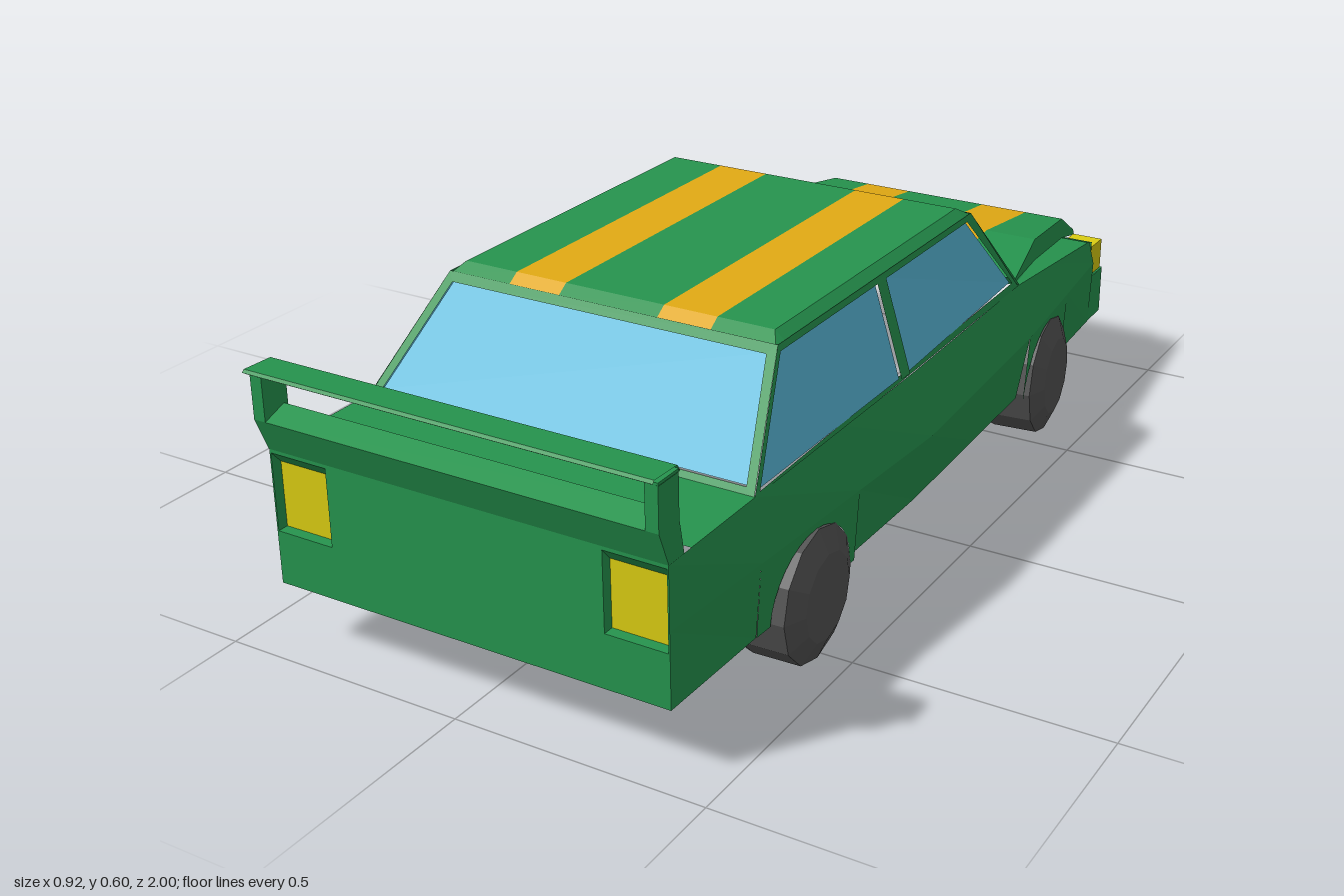
import * as THREE from 'three';

const paint = (name, color) => new THREE.MeshStandardMaterial({ name, color, side: THREE.DoubleSide, flatShading: true });

// Piecewise-linear lookup over [z, value] pairs, z descending
function along(table, z) {
  for (let i = 1; i < table.length; i++) {
    const [a, va] = table[i - 1], [b, vb] = table[i];
    if (z >= b) return va + (vb - va) * Math.min(1, Math.max(0, (a - z) / (a - b)));
  }
  return table[table.length - 1][1];
}
const ridgeX = z => along([[0.957, 0.41], [0.69, 0.425], [0.1, 0.455], [-0.45, 0.425], [-1, 0.367]], z);
const sillX = z => along([[0.957, 0.41], [0.69, 0.415], [0.1, 0.42], [-0.45, 0.4], [-1, 0.365]], z);
const beltX = z => along([[0.957, 0.41], [0, 0.41], [-0.445, 0.385], [-0.92, 0.362]], z);
const beltY = z => along([[0.957, 0.39], [0, 0.39], [-0.445, 0.375], [-0.92, 0.32]], z);
const SILL = 0.125, RIDGE = 0.27;

// Surface through rows of points; only the listed columns are filled
function skin(rows, columns) {
  const p = [];
  for (let r = 0; r + 1 < rows.length; r++) {
    for (let c = 0; c + 1 < rows[r].length; c++) {
      if (columns && !columns.includes(c)) continue;
      const a = rows[r][c], b = rows[r][c + 1], d = rows[r + 1][c], e = rows[r + 1][c + 1];
      p.push(...a, ...b, ...e, ...a, ...e, ...d);
    }
  }
  const g = new THREE.BufferGeometry();
  g.setAttribute('position', new THREE.Float32BufferAttribute(p, 3));
  g.computeVertexNormals();
  return g;
}

const ring = pts => pts.map(([x, y]) => new THREE.Vector2(x, y));

// Flat outline with holes, each vertex then placed in space by a rule
function sheet(outline, holes, place) {
  const s = outline instanceof THREE.Shape ? outline : new THREE.Shape(ring(outline));
  holes.forEach(h => s.holes.push(new THREE.Path(ring(h))));
  const g = new THREE.ShapeGeometry(s, 8).toNonIndexed(), q = g.attributes.position;
  for (let i = 0; i < q.count; i++) q.setXYZ(i, ...place(q.getX(i), q.getY(i)));
  g.computeVertexNormals();
  return g;
}

export function createModel() {
  const green = paint('bodyGreen', 0x26944e), gold = paint('stripeGold', 0xe2aa14);
  const glass = paint('windowBlue', 0x5abada), yellow = paint('lampYellow', 0xdacd12);
  const rubber = paint('wheelGrey', 0x535353);
  const car = new THREE.Group();
  car.name = 'car';
  const add = (name, geometry, material, parent = car) => {
    const m = new THREE.Mesh(geometry, material);
    m.name = name;
    parent.add(m);
    return m;
  };

  // Striped panels: hood and roof
  const striped = (name, rows) => {
    add(name, skin(rows, [0, 1, 3, 5, 6]), green);
    add(name + 'Stripes', skin(rows, [2, 4]), gold);
  };
  const section = (z, y, hw, edgeHw, edgeY, s) =>
    [[-edgeHw, edgeY], [-hw, y], [-s - 0.11, y], [-s, y], [s, y], [s + 0.11, y], [hw, y], [edgeHw, edgeY]]
      .map(([x, h]) => [x, h, z]);
  striped('roof', [
    section(0.51, 0.583, 0.345, 0.35, 0.58, 0.105), section(0.485, 0.6, 0.33, 0.35, 0.583, 0.105),
    section(-0.24, 0.6, 0.33, 0.35, 0.583, 0.105), section(-0.27, 0.583, 0.345, 0.35, 0.58, 0.105)]);
  const hood = [[-0.445, 0.377, 0.375], [-0.68, 0.395, 0.325], [-0.91, 0.367, 0.295], [-1, 0.312, 0.29]];
  striped('hood', hood.map(([z, y, hw], i) =>
    section(z, y, hw, hw + 0.003, i < 3 ? beltY(z) : 0.3, 0.103 - i * 0.004)));

  // Front and rear screens: leaning frame, with glass at the rear
  const screen = (zLow, zHigh) => (x, y) => [x, y, zLow + (zHigh - zLow) * (y - 0.385) / 0.2];
  const frame = [[-0.41, 0.385], [0.41, 0.385], [0.35, 0.585], [-0.35, 0.585]];
  const opening = [[-0.388, 0.4], [0.388, 0.4], [0.335, 0.57], [-0.335, 0.57]];
  add('rearWindowFrame', sheet(frame, [opening], screen(0.695, 0.51)), green);
  add('rearWindow', sheet(opening, [], screen(0.69, 0.505)), glass);
  const front = [[-0.388, 0.377], [0.388, 0.377], [0.35, 0.585], [-0.35, 0.585]];
  const gap = [[-0.367, 0.395], [0.367, 0.395], [0.333, 0.573], [-0.333, 0.573]];
  add('windshieldFrame', sheet(front, [gap], screen(-0.445, -0.27)), green);

  // Trunk lid and tail panel with two lamp recesses
  add('trunkLid', skin([[[-0.41, 0.39, 0.685], [0.41, 0.39, 0.685]], [[-0.41, 0.39, 0.89], [0.41, 0.39, 0.89]]]), green);
  const recess = s => [[s * 0.285, 0.23], [s * 0.407, 0.23], [s * 0.407, 0.383], [s * 0.285, 0.383]];
  add('tailPanel', sheet([[-0.41, SILL], [0.41, SILL], [0.41, 0.39], [-0.41, 0.39]],
    [recess(1), recess(-1)], (x, y) => [x, y, 0.957]), green);

  // Rear spoiler: lower lip, posts and wing
  const lip = [[0.957, 0.39], [0.984, 0.457], [0.935, 0.475], [0.925, 0.455], [0.925, 0.39]];
  add('spoilerLip', skin([-0.41, 0.41].map(x => lip.map(([z, y]) => [x, y, z]))), green);
  const wing = [[0.984, 0.54], [1, 0.55], [0.995, 0.555], [0.93, 0.553], [0.922, 0.54], [0.984, 0.54]];
  add('spoilerWing', skin([-0.412, 0.412].map(x => wing.map(([z, y]) => [x, y, z]))), green);

  for (const s of [1, -1]) {
    const side = new THREE.Group();
    side.name = s > 0 ? 'leftSide' : 'rightSide';
    car.add(side);
    const put = (name, geometry, material) => add(name, geometry, material, side);

    // Shoulder band above the body ridge
    put('shoulder', skin([0.957, 0.69, 0.37, 0.1, -0.2, -0.445, -0.68, -0.92].map(z =>
      [[s * beltX(z), beltY(z), z], [s * ridgeX(z), RIDGE, z]])), green);
    // Fender top beside the hood
    put('fenderTop', skin(hood.slice(0, 3).map(([z, , hw]) =>
      [[s * (hw + 0.003), beltY(z), z], [s * beltX(z), beltY(z), z]])), green);

    // Lower side panels between the arches
    for (const zs of [[0.957, 0.695], [0.37, 0.1, -0.2, -0.435], [-0.71, -0.92]])
      put('lowerPanel', skin(zs.map(z => [[s * ridgeX(z), RIDGE, z], [s * sillX(z), SILL, z]])), green);

    // Wheel arches and wheels
    for (const [name, z0, z1, zc, outer, toe] of [
      ['rear', 0.37, 0.695, 0.52, 0.458, 0.03], ['front', -0.71, -0.435, -0.57, 0.432, 0.1]]) {
      const arch = new THREE.Shape();
      arch.moveTo(z0, SILL).lineTo(zc - 0.132, SILL);
      arch.absarc(zc, SILL, 0.132, Math.PI, 0, true);
      arch.lineTo(z1, SILL).lineTo(z1, RIDGE).lineTo(z0, RIDGE);
      put(name + 'Arch', sheet(arch, [], (z, y) => [s * (ridgeX(z) - (RIDGE - y) * 0.06), y, z]), green);
      const tyre = new THREE.LatheGeometry(
        ring([[0, 0], [0.124, 0], [0.13, 0.02], [0.13, 0.115], [0.085, 0.135], [0, 0.135]]), 12);
      const wheel = put(name + 'Wheel', tyre, rubber);
      wheel.rotation.set(0, s * toe, -s * Math.PI / 2);
      wheel.position.set(s * (outer - 0.135), 0.128, zc);
    }

    // Side window frame with two panes
    const lean = inset => (z, y) => [s * (beltX(z) - (y - 0.39) * (beltX(z) - 0.35) / 0.195 - inset), y, z];
    const rearPane = [[0.672, 0.393], [0.145, 0.393], [0.145, 0.573], [0.507, 0.573]];
    const frontPane = [[0.11, 0.393], [-0.415, 0.393], [-0.248, 0.573], [0.11, 0.573]];
    put('windowFrame', sheet([[0.695, 0.385], [-0.445, 0.376], [-0.27, 0.585], [0.51, 0.585]],
      [rearPane, frontPane], lean(0)), green);
    put('rearSideWindow', sheet(rearPane, [], lean(0.006)), glass);
    put('frontSideWindow', sheet(frontPane, [], lean(0.006)), glass);

    // Tail lamp set into its recess
    const inner = [[0.285, 0.23], [0.407, 0.23], [0.407, 0.358], [0.285, 0.358]].map(([x, y]) => [s * x, y]);
    const loop = (pts, z) => [...pts, pts[0]].map(([x, y]) => [x, y, z]);
    put('tailLampRecess', skin([loop(recess(s), 0.957), loop(inner, 0.935)]), green);
    put('tailLamp', sheet(inner, [], (x, y) => [x, y, 0.935]), yellow);

    // Nose corner under the headlamp, wall behind it, and the lamp
    put('noseCorner', skin([SILL, 0.233].map(y =>
      [[s * 0.29, y, -1], [s * 0.367, y, -1], [s * 0.37, y, -0.92]])), green);
    put('noseShelf', skin([-1, -0.92].map(z => [[s * 0.29, 0.233, z], [s * 0.368, 0.233, z]])), green);
    put('lampBacking', skin([0.233, 0.32].map(y => [[s * 0.29, y, -0.92], [s * 0.368, y, -0.92]])), green);
    put('headlamp', new THREE.BoxGeometry(0.07, 0.07, 0.07), yellow).position.set(s * 0.33, 0.27, -0.956);

    // Spoiler post
    const post = [[0.957, 0.39], [0.984, 0.457], [0.984, 0.545], [0.925, 0.545], [0.925, 0.457], [0.912, 0.39]];
    for (const x of [0.386, 0.411])
      put('spoilerPost', sheet(post, [], (z, y) => [s * x, y, z]), green);
    put('spoilerPostEdge', skin([0.386, 0.411].map(x => [...post, post[0]].map(([z, y]) => [s * x, y, z]))), green);
  }
  return car;
}
